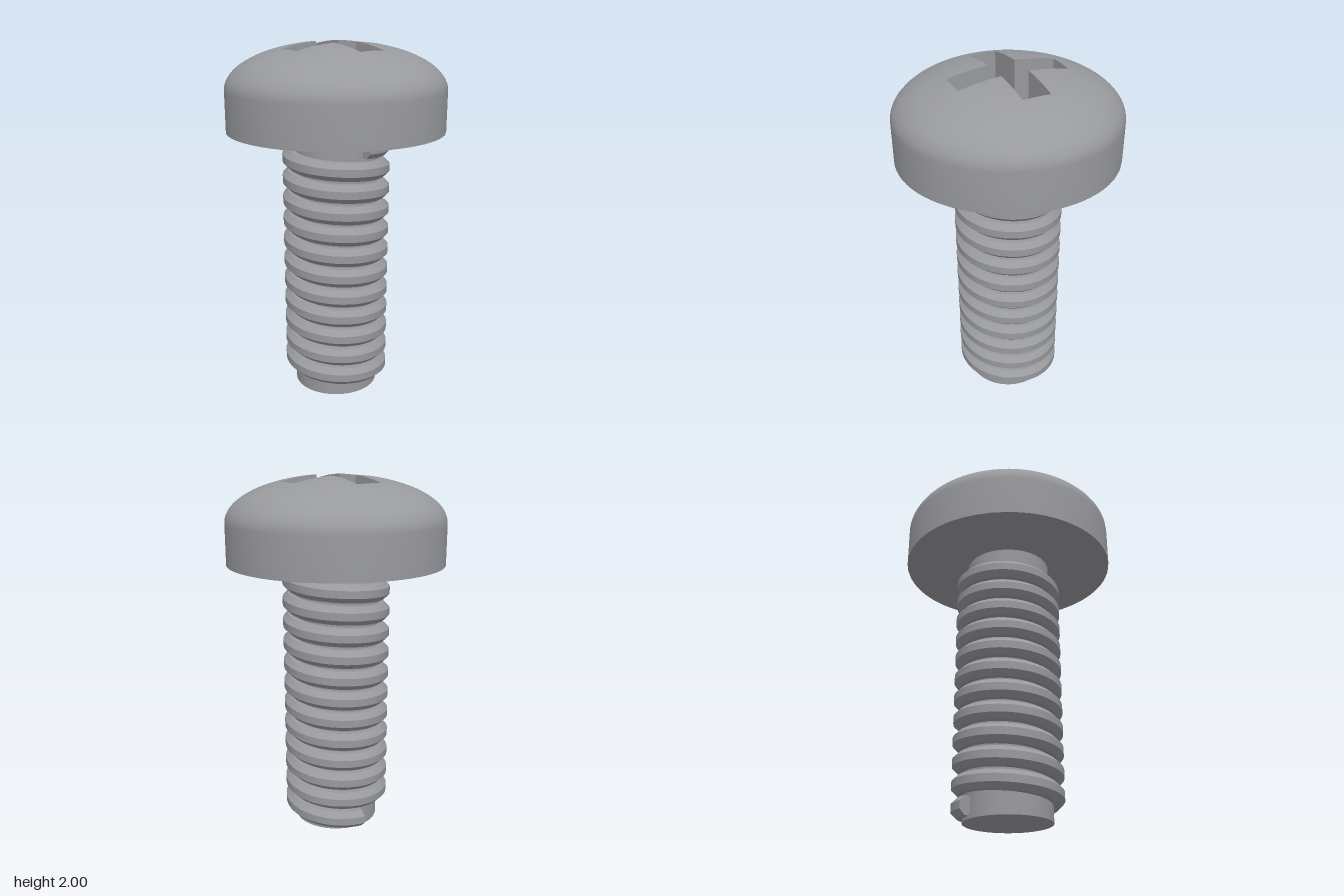
import * as THREE from 'three';
import { toCreasedNormals } from 'three/addons/utils/BufferGeometryUtils.js';

// Skins a series of closed rings of [x, y, z] points, keeping sharp edges sharp.
function loft(rings) {
  const n = rings[0].length;
  const index = [];
  for (let i = 0; i < rings.length - 1; i++) {
    for (let j = 0; j < n; j++) {
      const k = (j + 1) % n;
      const a = i * n + j, b = i * n + k;
      index.push(a, b, a + n, b, b + n, a + n);
    }
  }
  const geometry = new THREE.BufferGeometry();
  geometry.setAttribute('position', new THREE.Float32BufferAttribute(rings.flat(2), 3));
  geometry.setIndex(index);
  return toCreasedNormals(geometry, Math.PI / 6);
}

// Pan head: domed top with a cross-shaped recess, straight rim and flat underside.
function headGeometry() {
  const R = 0.605, base = 1.525, rimY = 1.75, rise = 0.254, floorY = 1.75;
  const arm = 0.305, half = 0.076, steps = 8;

  // Outline of the cross, running around the axis
  const quarter = [[arm, -half], [arm, half], [half, half], [half, arm]];
  const outline = [];
  for (let q = 0; q < 4; q++) {
    const c = [1, 0, -1, 0][q], s = [0, 1, 0, -1][q];
    for (let e = 0; e < 3; e++) {
      for (let k = 0; k < steps; k++) {
        const x = THREE.MathUtils.lerp(quarter[e][0], quarter[e + 1][0], k / steps);
        const z = THREE.MathUtils.lerp(quarter[e][1], quarter[e + 1][1], k / steps);
        outline.push([x * c - z * s, x * s + z * c]);
      }
    }
  }
  const polar = outline.map(([x, z]) => ({ t: Math.atan2(z, x), r: Math.hypot(x, z) }));
  const circle = (r, y) => polar.map(({ t }) => [r * Math.cos(t), y, r * Math.sin(t)]);

  // Recess floor, recess walls, then the dome from the cross out to the rim
  const rings = [circle(0, floorY), outline.map(([x, z]) => [x, floorY, z])];
  const rows = 24;
  for (let i = 0; i <= rows; i++) {
    rings.push(polar.map(({ t, r }) => {
      const phi = Math.acos(r / R) * (1 - i / rows);
      const d = R * Math.cos(phi);
      return [d * Math.cos(t), rimY + rise * Math.sin(phi), d * Math.sin(t)];
    }));
  }
  rings.push(circle(R, base), circle(0, base));
  return loft(rings);
}

// Thread: an octagonal section swept down a helix, closed at both ends.
function threadGeometry() {
  const turns = 11.5, perTurn = 48, top = 1.455, bottom = 0.065;
  const radius = 0.25, size = 0.055, sides = 8;
  const count = turns * perTurn;
  const section = (i, s) => {
    const u = (i / perTurn) * Math.PI * 2;
    const y = THREE.MathUtils.lerp(top, bottom, i / count);
    return Array.from({ length: sides }, (_, j) => {
      const p = -((j + 0.5) / sides) * Math.PI * 2;
      const r = radius + s * Math.cos(p);
      return [r * Math.cos(u), y + s * Math.sin(p), -r * Math.sin(u)];
    });
  };
  const rings = [section(0, 0)];
  for (let i = 0; i <= count; i++) rings.push(section(i, size));
  rings.push(section(count, 0));
  return loft(rings);
}

export function createModel() {
  const steel = new THREE.MeshStandardMaterial({ color: 0x999a9e });
  steel.name = 'steel';

  const model = new THREE.Group();
  model.name = 'screw';
  const add = (name, geometry) => {
    const mesh = new THREE.Mesh(geometry, steel);
    mesh.name = name;
    model.add(mesh);
    return mesh;
  };

  add('head', headGeometry());
  add('shank', new THREE.CylinderGeometry(0.24, 0.24, 1.53, 64)).position.y = 0.765;
  add('thread', threadGeometry());
  return model;
}
